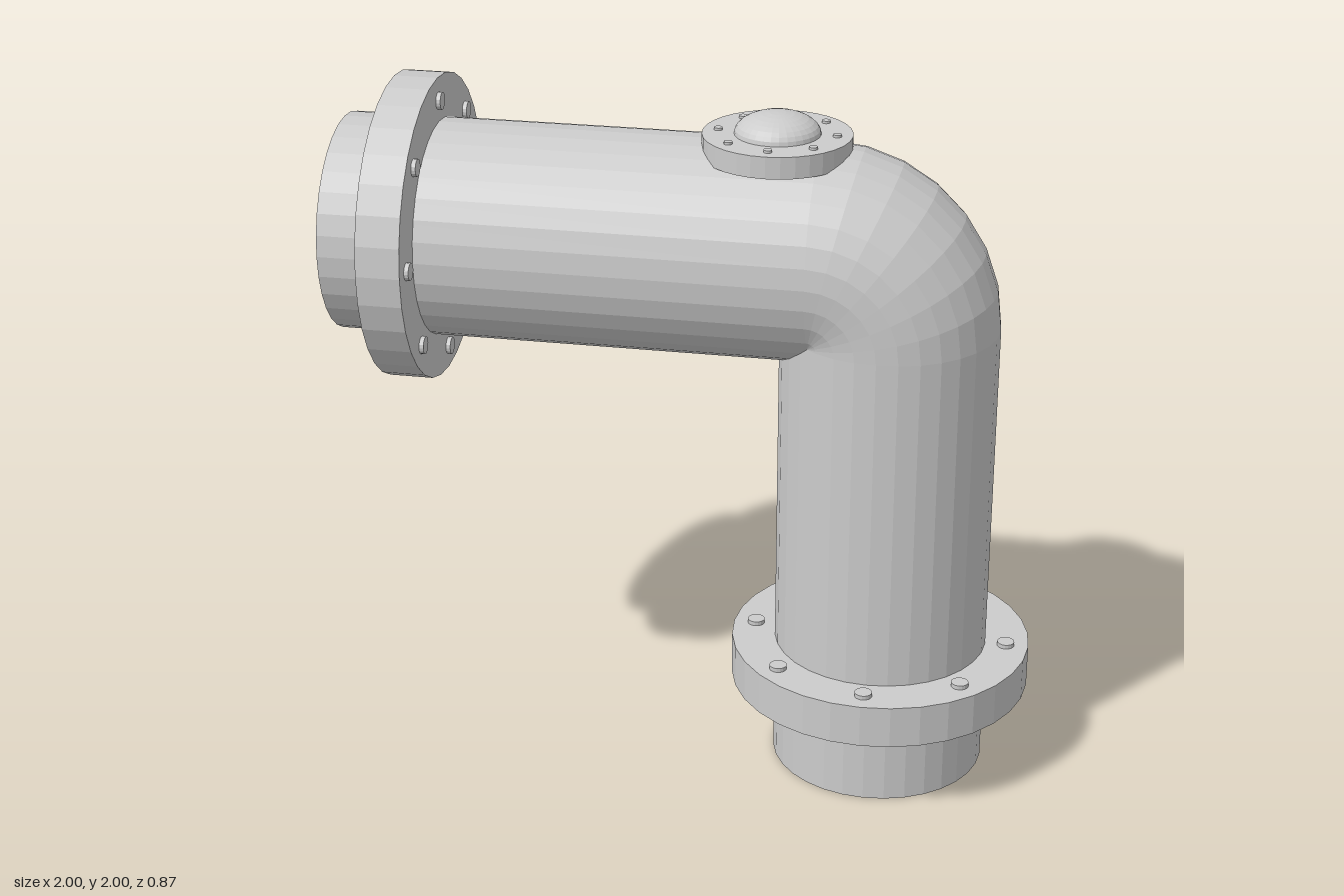
import * as THREE from 'three';

const SIDES = 32;
const PIPE_R = 0.31, BEND_R = 0.2;
const AXIS_X = 0.562, AXIS_Y = 1.565;

const material = new THREE.MeshStandardMaterial({ color: 0xcccccc, flatShading: true });

function part(name, geometry, x = 0, y = 0, z = 0) {
  const mesh = new THREE.Mesh(geometry, material);
  mesh.name = name;
  mesh.position.set(x, y, z);
  return mesh;
}

const cylinder = (r, length, sides = SIDES) => new THREE.CylinderGeometry(r, r, length, sides);

// Disc with a ring of eight bolts passing through it, axis along y
function boltedFlange(name, radius, thickness, boltCircle, boltR, boltLength) {
  const group = new THREE.Group();
  group.name = name;
  group.add(part('flangeDisc', cylinder(radius, thickness)));
  for (let i = 0; i < 8; i++) {
    const a = (i * Math.PI) / 4;
    group.add(part('bolt', cylinder(boltR, boltLength, 16),
      Math.cos(a) * boltCircle, 0, Math.sin(a) * boltCircle));
  }
  return group;
}

export function createModel() {
  const model = new THREE.Group();
  model.name = 'pipeElbow';
  const bendX = AXIS_X - BEND_R, bendY = AXIS_Y - BEND_R;

  // Straight pipe runs, overlapping inside the tight corner
  model.add(part('verticalPipe', cylinder(PIPE_R, bendY), AXIS_X, bendY / 2));
  const run = bendX + 1;
  const horizontal = part('horizontalPipe', cylinder(PIPE_R, run), bendX - run / 2, AXIS_Y);
  horizontal.rotation.z = Math.PI / 2;
  model.add(horizontal);

  // Quarter-turn bend
  model.add(part('bend', new THREE.TorusGeometry(BEND_R, PIPE_R, SIDES, 7, Math.PI / 2), bendX, bendY));

  // Flanges near both pipe ends
  const lower = boltedFlange('lowerFlange', 0.436, 0.125, 0.37, 0.025, 0.15);
  lower.position.set(AXIS_X, 0.313, 0);
  const side = boltedFlange('sideFlange', 0.436, 0.125, 0.37, 0.025, 0.15);
  side.position.set(-0.787, AXIS_Y, 0);
  side.rotation.z = Math.PI / 2;
  model.add(lower, side);

  // Domed inspection cap on top
  const cap = boltedFlange('inspectionCap', 0.208, 0.062, 0.165, 0.012, 0.076);
  cap.position.set(0.236, 1.87, 0);
  const dome = part('dome', new THREE.SphereGeometry(0.12, SIDES, 8, 0, Math.PI * 2, 0, Math.PI / 2), 0, 0.031, 0);
  dome.scale.y = 0.5;
  cap.add(dome);
  model.add(cap);

  return model;
}
